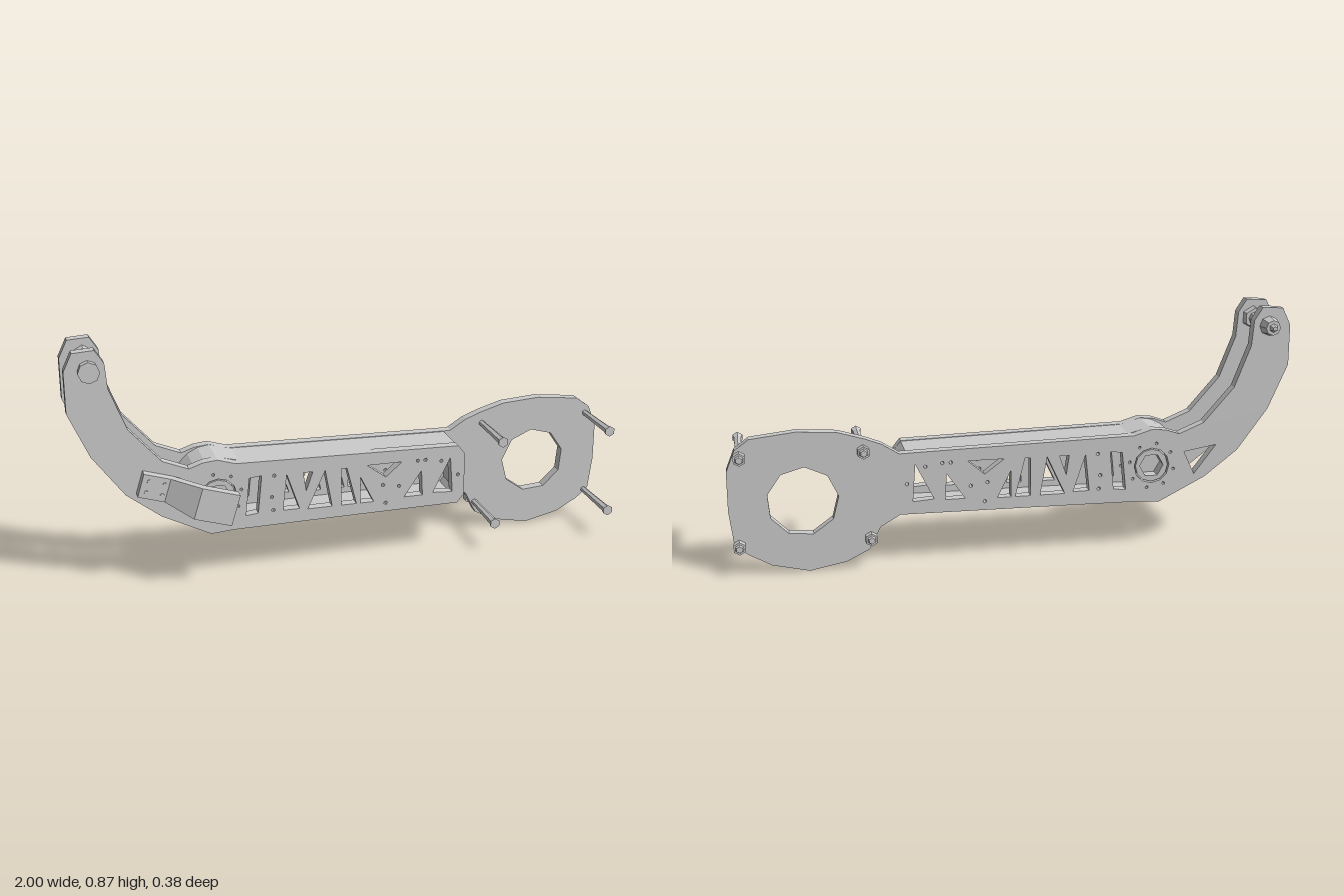
import * as THREE from 'three';

const material = new THREE.MeshStandardMaterial({ color: 0xcccccc, flatShading: true });
const V = (pts) => pts.map(([x, y]) => new THREE.Vector2(x, y));
const ngon = (cx, cy, r, n, turn = 0) => Array.from({ length: n }, (_, i) => {
  const a = turn + (i / n) * Math.PI * 2;
  return [cx + r * Math.cos(a), cy + r * Math.sin(a)];
});

const HUB = [-0.5, 0.315];

// Upper edge runs from the hook tip to the arm end, lower edge runs back again
const upperEdge = [[-1, 0.81], [-0.97, 0.872], [-0.895, 0.877], [-0.865, 0.83], [-0.858, 0.74],
  [-0.8, 0.59], [-0.69, 0.465], [-0.6, 0.428], [-0.55, 0.445], [-0.5, 0.45], [-0.435, 0.43]];
const lowerEdge = [[-0.18, 0.185], [-0.45, 0.182], [-0.53, 0.176], [-0.7, 0.262],
  [-0.82, 0.355], [-0.93, 0.505], [-1, 0.665]];
const armEnd = [[0.385, 0.412], [0.41, 0.38], [0.41, 0.22], [0.385, 0.19]];
const mountHead = [[0.41, 0.412], [0.47, 0.45], [0.53, 0.473], [0.62, 0.5], [0.76, 0.51],
  [0.92, 0.492], [0.97, 0.455], [1, 0.38], [1, 0.24], [0.985, 0.12], [0.94, 0.08], [0.86, 0.035],
  [0.73, 0.005], [0.6, 0.03], [0.52, 0.07], [0.48, 0.15], [0.41, 0.19]];

// Truss cut-outs along the arm
const trussHoles = [
  [[-0.39, 0.37], [-0.345, 0.375], [-0.36, 0.235], [-0.405, 0.23]],
  [[-0.255, 0.37], [-0.21, 0.235], [-0.27, 0.235]],
  [[-0.195, 0.37], [-0.16, 0.37], [-0.185, 0.3]],
  [[-0.115, 0.37], [-0.09, 0.23], [-0.18, 0.23]],
  [[-0.055, 0.37], [-0.035, 0.37], [0, 0.23], [-0.055, 0.23]],
  [[0.015, 0.33], [0.065, 0.23], [0.015, 0.23]],
  [[0.04, 0.372], [0.17, 0.372], [0.11, 0.32]],
  [[0.18, 0.235], [0.25, 0.235], [0.245, 0.33]],
  [[0.355, 0.37], [0.365, 0.235], [0.29, 0.24]],
];
const pinHoles = [[-0.31, 0.29], [-0.305, 0.24], [-0.3, 0.37], [0.11, 0.22], [0.1, 0.29],
  [0.16, 0.28], [0.26, 0.37], [0.32, 0.36], [0.23, 0.37], [0.385, 0.3]]
  .map(([x, y]) => ngon(x, y, 0.007, 5));
const hubPins = ngon(...HUB, 0.083, 8, 0.2).map(([x, y]) => ngon(x, y, 0.006, 5));
const gusset = [[-0.74, 0.38], [-0.62, 0.36], [-0.66, 0.275]];

function add(parent, name, geometry) {
  const mesh = new THREE.Mesh(geometry, material);
  mesh.name = name;
  parent.add(mesh);
  return mesh;
}

// Flat plate with holes, between two depths; outline and holes wound anticlockwise
function plate(parent, name, outline, holes, z0, z1) {
  const wind = (pts) => {
    const points = V(pts);
    return THREE.ShapeUtils.isClockWise(points) ? points.reverse() : points;
  };
  const shape = new THREE.Shape(wind(outline));
  shape.holes = holes.map((h) => new THREE.Path(wind(h)));
  const geometry = new THREE.ExtrudeGeometry(shape, { depth: z1 - z0, bevelEnabled: false });
  return add(parent, name, geometry.translate(0, 0, z0));
}

// Round or many-sided bar along z
function bar(parent, name, x, y, z0, z1, r0, r1, sides) {
  const geometry = new THREE.CylinderGeometry(r1, r0, z1 - z0, sides);
  geometry.rotateX(Math.PI / 2).translate(x, y, (z0 + z1) / 2);
  return add(parent, name, geometry);
}

export function createModel() {
  const model = new THREE.Group();
  model.name = 'hookedArm';

  // Side plates
  plate(model, 'backPlate', [...upperEdge, ...mountHead, ...lowerEdge],
    [...trussHoles, ...pinHoles, ...hubPins, gusset, ngon(...HUB, 0.065, 12),
      ngon(0.746, 0.26, 0.124, 9, 0.25)], -0.127, -0.09);
  plate(model, 'frontPlate', [...upperEdge, ...armEnd, ...lowerEdge],
    [...trussHoles, ...pinHoles, ...hubPins, ngon(...HUB, 0.065, 12)], 0.035, 0.072);

  // Wall joining the plates, rounded about the hub
  const wall = (r, t) => [[-0.42, 0.428 - t], [0.385 - t / 2, 0.41 - t], [0.41 - t, 0.38 - t / 2],
    [0.41 - t, 0.22 + t / 2], [0.385 - t / 2, 0.19 + t], [-0.44, 0.184 + t],
    ...Array.from({ length: 11 }, (_, i) => {
      const a = -Math.PI * (0.5 + i / 10);
      return [HUB[0] + r * Math.cos(a), HUB[1] + r * Math.sin(a)];
    })];
  plate(model, 'spacerWall', wall(0.134, 0), [wall(0.112, 0.022)], -0.09, 0.035);

  // Hub with a hex socket at each side
  const hub = new THREE.Group();
  hub.name = 'pivotHub';
  model.add(hub);
  const hex = ngon(...HUB, 0.044, 6);
  for (const [z0, z1] of [[-0.125, -0.07], [0.015, 0.07]]) {
    plate(hub, 'hubRing', ngon(...HUB, 0.06, 12), [hex], z0, z1);
  }
  bar(hub, 'hubCore', ...HUB, -0.08, 0.04, 0.05, 0.05, 12);

  // Stepped bracket: a strip drawn in plan, narrower at its pad, tilted with the hook
  const strip = [[-0.07, 0.072], [0.04, 0.072], [0.135, 0.15], [0.255, 0.15],
    [0.255, 0.187], [0.12, 0.187], [0.025, 0.108], [-0.07, 0.108]];
  const bracketShape = new THREE.Shape(V(strip.map(([x, z]) => [x, -z])));
  const bracketGeometry = new THREE.ExtrudeGeometry(bracketShape, { depth: 0.114, bevelEnabled: false });
  bracketGeometry.translate(0, 0, -0.057).rotateX(-Math.PI / 2);
  const corners = bracketGeometry.attributes.position;
  for (let i = 0; i < corners.count; i++) {
    if (corners.getX(i) < 0.05) corners.setY(i, corners.getY(i) * 0.75);
  }
  bracketGeometry.computeVertexNormals();
  const bracket = new THREE.Group();
  bracket.name = 'bracket';
  bracket.position.set(-0.705, 0.378, 0);
  bracket.rotation.z = -0.3;
  model.add(bracket);
  add(bracket, 'bracketStrip', bracketGeometry);
  for (const [x, y] of [[-0.045, 0.02], [-0.045, -0.02], [0.01, 0.02], [0.01, -0.02]]) {
    bar(bracket, 'bracketRivet', x, y, 0.1, 0.111, 0.008, 0.008, 6);
  }

  // Hook bolt with its nuts
  const bolt = new THREE.Group();
  bolt.name = 'hookBolt';
  model.add(bolt);
  const [bx, by] = [-0.92, 0.81];
  bar(bolt, 'boltShaft', bx, by, -0.172, 0.09, 0.024, 0.024, 8);
  bar(bolt, 'boltTip', bx, by, -0.188, -0.172, 0.008, 0.016, 6);
  bar(bolt, 'boltHead', bx, by, 0.072, 0.104, 0.035, 0.037, 8);
  bar(bolt, 'innerFrontNut', bx, by, 0.01, 0.035, 0.038, 0.042, 6);
  bar(bolt, 'innerBackNut', bx, by, -0.09, -0.066, 0.042, 0.038, 6);
  bar(bolt, 'outerBackNut', bx, by, -0.172, -0.127, 0.027, 0.035, 8);

  // Four long mounting screws through the head
  for (const [x, y] of [[0.535, 0.43], [0.955, 0.43], [0.515, 0.113], [0.968, 0.113]]) {
    const screw = new THREE.Group();
    screw.name = 'mountingScrew';
    model.add(screw);
    bar(screw, 'screwShaft', x, y, -0.09, 0.115, 0.011, 0.015, 6);
    bar(screw, 'screwHead', x, y, 0.11, 0.13, 0.015, 0.02, 6);
    bar(screw, 'screwNut', x, y, -0.155, -0.127, 0.023, 0.023, 6);
    bar(screw, 'screwEnd', x, y, -0.165, -0.155, 0.012, 0.016, 6);
  }
  return model;
}
